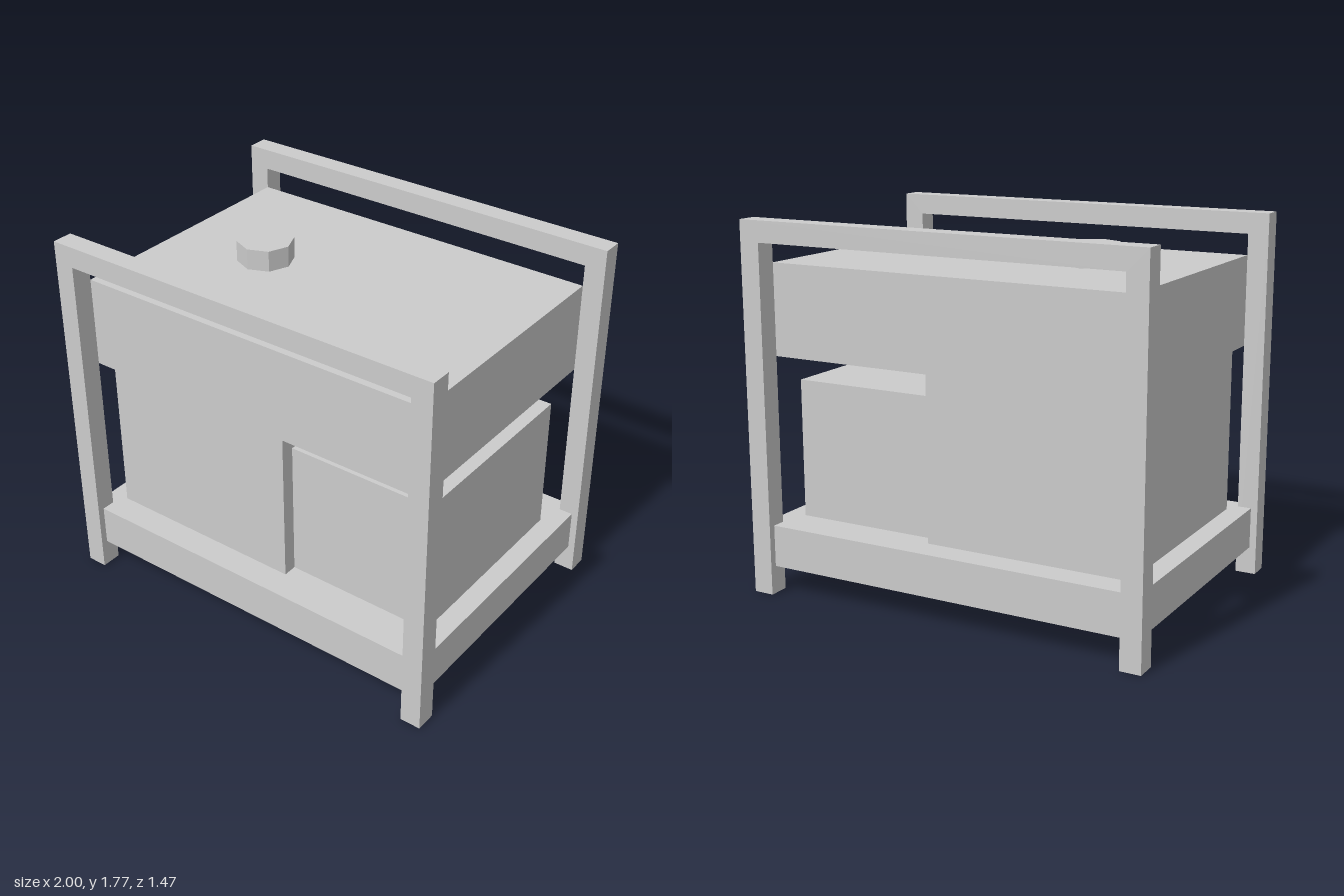
import * as THREE from 'three';

const material = new THREE.MeshStandardMaterial({ color: 0xcccccc, flatShading: true });
const openMaterial = new THREE.MeshStandardMaterial({ color: 0xcccccc, flatShading: true, side: THREE.DoubleSide });

// Box given by its extents in x and y, and its half depth in z
function block(name, x0, x1, y0, y1, halfDepth) {
  const mesh = new THREE.Mesh(new THREE.BoxGeometry(x1 - x0, y1 - y0, halfDepth * 2), material);
  mesh.position.set((x0 + x1) / 2, (y0 + y1) / 2, 0);
  mesh.name = name;
  return mesh;
}

// Square-tube frame: two legs and a top rail, with open leg ends
function frameGeometry() {
  const outline = [[-1, 0], [-0.9, 0], [-0.9, 1.667], [0.9, 1.667], [0.9, 0], [1, 0], [1, 1.767], [-1, 1.767]];
  const shape = new THREE.Shape(outline.map(([x, y]) => new THREE.Vector2(x, y)));
  const solid = new THREE.ExtrudeGeometry(shape, { depth: 0.1, bevelEnabled: false });
  const source = solid.attributes.position;
  const kept = [];
  for (let i = 0; i < source.count; i += 3) {
    const corners = [i, i + 1, i + 2];
    if (corners.every((c) => Math.abs(source.getY(c)) < 1e-6)) continue; // foot faces
    for (const c of corners) kept.push(source.getX(c), source.getY(c), source.getZ(c) - 0.05);
  }
  const geometry = new THREE.BufferGeometry();
  geometry.setAttribute('position', new THREE.Float32BufferAttribute(kept, 3));
  geometry.computeVertexNormals();
  return geometry;
}

export function createModel() {
  const model = new THREE.Group();
  model.name = 'generator';

  // Carrying frames at front and back
  const geometry = frameGeometry();
  for (const [name, z] of [['frontFrame', 0.683], ['backFrame', -0.683]]) {
    const frame = new THREE.Mesh(geometry, openMaterial);
    frame.position.z = z;
    frame.name = name;
    model.add(frame);
  }

  // Base reaching into the legs, machinery, and tank held between the frames
  model.add(
    block('basePlate', -0.967, 0.967, 0.133, 0.333, 0.7),
    block('engineBlock', -0.867, 0.133, 0.333, 1.133, 0.567),
    block('alternatorBlock', 0.133, 0.867, 0.333, 1.0, 0.5),
    block('fuelTank', -0.9, 0.9, 1.133, 1.567, 0.633),
  );

  // Octagonal filler cap
  const cap = new THREE.Mesh(new THREE.CylinderGeometry(0.133, 0.133, 0.1, 8), material);
  cap.position.set(-0.4, 1.617, 0);
  cap.name = 'fuelCap';
  model.add(cap);

  return model;
}
